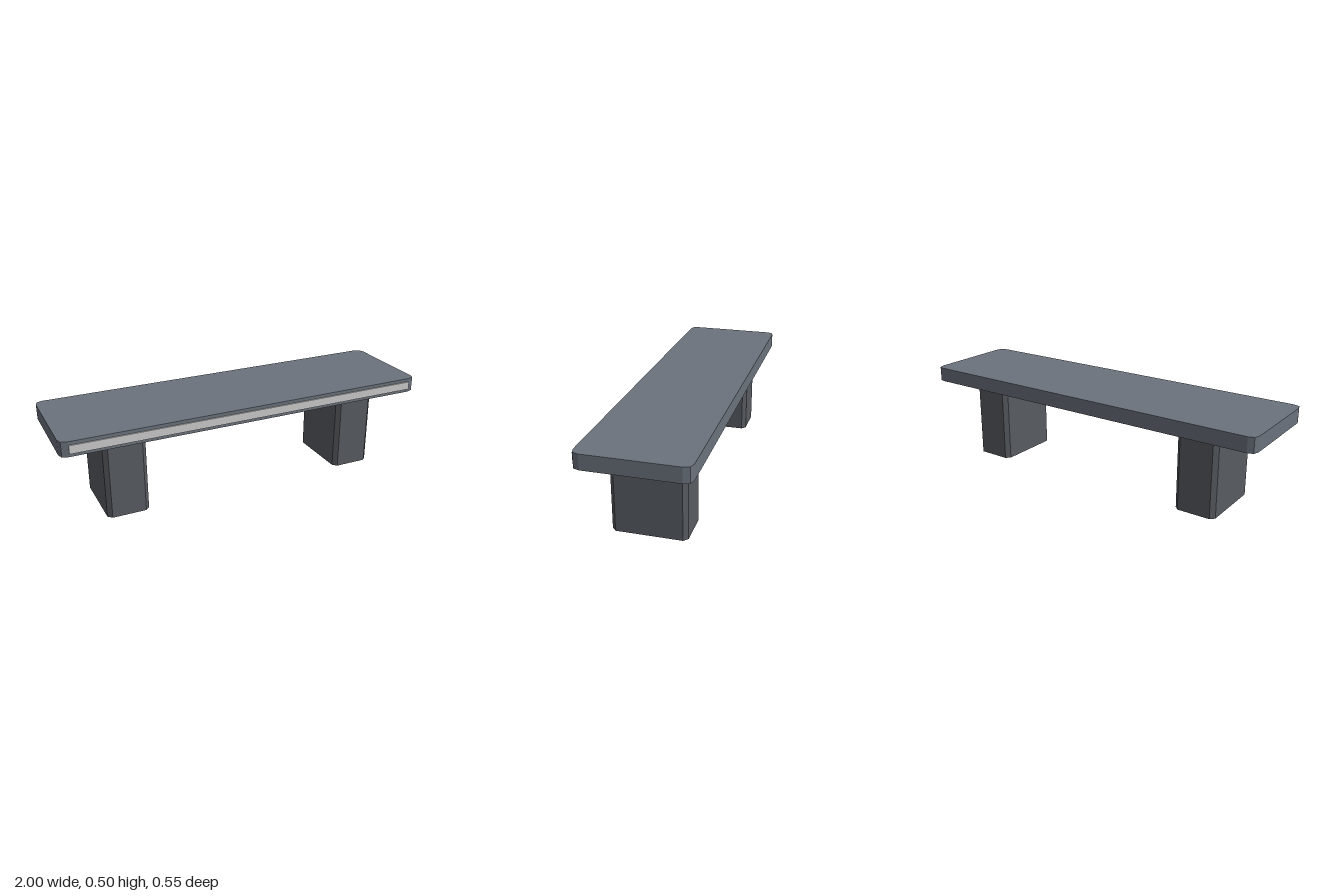
import * as THREE from 'three';

const slate = new THREE.MeshStandardMaterial({ color: 0x6b727c, flatShading: true });
const stone = new THREE.MeshStandardMaterial({ color: 0x585c62, flatShading: true });
const pale = new THREE.MeshStandardMaterial({ color: 0xcccccc });
const amber = new THREE.MeshStandardMaterial({ color: 0xeab308 });

// Upright block with softened vertical corners, standing on y = 0
function roundedBlock(width, height, depth, r, segments) {
  const w = width / 2, d = depth / 2;
  const s = new THREE.Shape();
  s.moveTo(-w + r, -d);
  s.lineTo(w - r, -d);
  s.quadraticCurveTo(w, -d, w, -d + r);
  s.lineTo(w, d - r);
  s.quadraticCurveTo(w, d, w - r, d);
  s.lineTo(-w + r, d);
  s.quadraticCurveTo(-w, d, -w, d - r);
  s.lineTo(-w, -d + r);
  s.quadraticCurveTo(-w, -d, -w + r, -d);
  const geometry = new THREE.ExtrudeGeometry(s, { depth: height, bevelEnabled: false, curveSegments: segments });
  return geometry.rotateX(-Math.PI / 2);
}

export function createModel() {
  const group = new THREE.Group();
  group.name = 'bench';
  const add = (name, geometry, material, x, y, z) => {
    const mesh = new THREE.Mesh(geometry, material);
    mesh.name = name;
    mesh.position.set(x, y, z);
    group.add(mesh);
  };
  const centreZ = -0.0035;

  // Seat slab
  add('seat', roundedBlock(2, 0.078, 0.543, 0.04, 2), slate, 0, 0.424, centreZ);

  // Chamfered pedestal legs
  const legGeometry = roundedBlock(0.222, 0.424, 0.377, 0.022, 1);
  for (const side of [-1, 1]) {
    add(side > 0 ? 'leftLeg' : 'rightLeg', legGeometry, stone, side * 0.667, 0, centreZ);
  }

  // Pale strip along the front edge
  add('frontStrip', new THREE.BoxGeometry(1.914, 0.043, 0.014), pale, 0, 0.4625, 0.268);

  // Light bar under the seat, near the front
  add('underseatLight', new THREE.BoxGeometry(1, 0.014, 0.022), amber, 0, 0.418, 0.165);

  return group;
}
